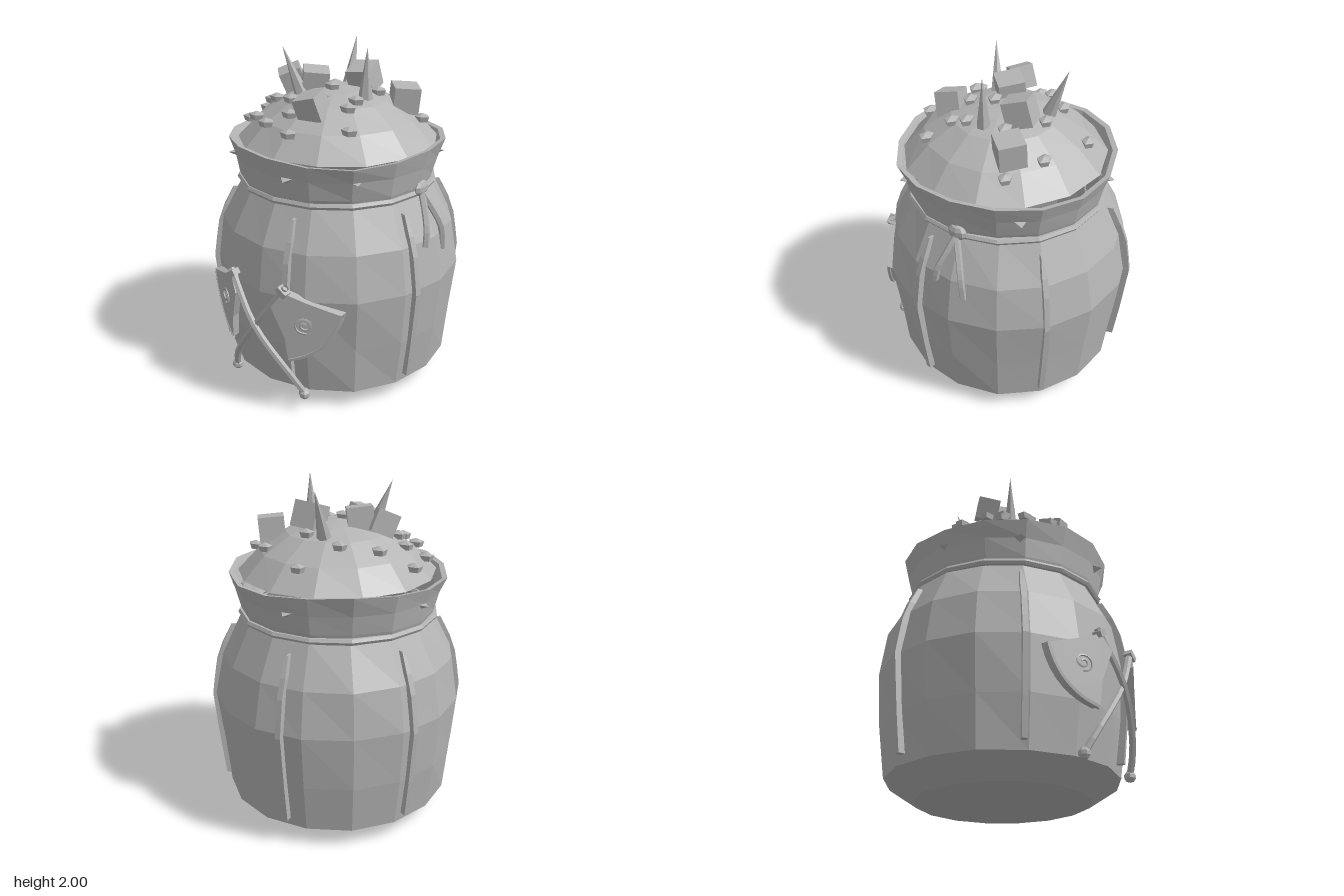
import * as THREE from 'three';

const stone = new THREE.MeshStandardMaterial({ color: 0xb4b4b4, flatShading: true, side: THREE.DoubleSide });
stone.name = 'grey';

const V3 = (x, y, z) => new THREE.Vector3(x, y, z);
const OFFSET_Z = -0.03; // body axis sits slightly behind the centre

function add(parent, name, geometry, x = 0, y = 0, z = 0) {
  const mesh = new THREE.Mesh(geometry, stone);
  mesh.name = name;
  mesh.position.set(x, y, z);
  parent.add(mesh);
  return mesh;
}

// Move every vertex by a rule
function warp(geometry, rule) {
  const p = geometry.attributes.position;
  const v = V3();
  for (let i = 0; i < p.count; i++) {
    v.fromBufferAttribute(p, i);
    rule(v);
    p.setXYZ(i, v.x, v.y, v.z);
  }
  geometry.computeVertexNormals();
  return geometry;
}

function lathe(profile, sides, wobble = 0) {
  const g = new THREE.LatheGeometry(profile.map(([r, y]) => new THREE.Vector2(r, y)), sides);
  return warp(g, v => {
    const a = Math.atan2(v.x, v.z);
    const s = 1 + wobble * Math.sin(Math.round(Math.sin(a) * 50) * 0.31 + Math.cos(a) * 4 + v.y * 9);
    v.x *= s;
    v.z *= s;
  });
}

// Linear lookup of a [radius, y] or [y, radius] table
function lookup(table, t) {
  for (let i = 1; i < table.length; i++) {
    const [a, b] = [table[i - 1], table[i]];
    if (t <= b[0]) return a[1] + (b[1] - a[1]) * (t - a[0]) / (b[0] - a[0]);
  }
  return table[table.length - 1][1];
}

const tube = (points, radius, segments = 12, sides = 6) =>
  new THREE.TubeGeometry(new THREE.CatmullRomCurve3(points), segments, radius, sides, false);

const BODY = [[0, 0.5], [0.11, 0.67], [0.4, 0.705], [0.72, 0.735], [0.98, 0.69], [1.22, 0.565]];
const MOUND = [[0, 1.755], [0.15, 1.74], [0.3, 1.69], [0.46, 1.59], [0.585, 1.46]];

function buildSack(root) {
  const profile = [[0, 0], ...BODY.map(([y, r]) => [r, y])];
  add(root, 'sackBody', lathe(profile, 16, 0.008), 0, 0, OFFSET_Z);

  // Gathered collar with an uneven folded rim
  const collar = lathe([[0.555, 1.2], [0.575, 1.26], [0.6, 1.37], [0.635, 1.47], [0.605, 1.465], [0.57, 1.4]], 16, 0.012);
  warp(collar, v => {
    if (v.y > 1.42) v.y += 0.015 * Math.sin(3 * Math.atan2(v.z, v.x) + 2.2);
  });
  add(root, 'collar', collar, 0, 0, -0.015);

  // Raised seams that follow the belly
  const seams = [[-0.15, -0.7], [0.53, -0.55], [-0.7, -0.25], [-0.53, 0.46], [0.17, 0.66], [0.68, 0.18]];
  for (const [x, z] of seams) {
    const g = new THREE.BoxGeometry(0.032, 0.99, 0.05, 1, 9, 1);
    warp(g, v => {
      v.y += 0.655;
      const taper = v.y > 1.1 ? 0.4 : 1;
      v.x *= taper;
      v.z += lookup(BODY, v.y);
    });
    add(root, 'seam', g, 0, 0, OFFSET_Z).rotation.y = Math.atan2(x, z - OFFSET_Z);
  }
}

function buildRope(root) {
  const ring = new THREE.TorusGeometry(0.572, 0.02, 6, 16);
  ring.rotateX(Math.PI / 2);
  add(root, 'rope', ring, 0, 1.225, -0.02);
  const knot = add(root, 'knot', new THREE.SphereGeometry(0.055, 8, 5), 0.585, 1.25, -0.025);
  knot.scale.set(0.5, 0.85, 1.1);
  // Two loose rope ends
  const ends = [
    [V3(0.59, 1.23, -0.02), V3(0.645, 1.12, 0.02), V3(0.68, 1.03, 0.055), V3(0.685, 0.95, 0.07)],
    [V3(0.59, 1.23, -0.02), V3(0.64, 1.13, -0.06), V3(0.685, 1.02, -0.095), V3(0.69, 0.88, -0.11)],
  ];
  for (const points of ends) {
    const g = tube(points, 0.02, 8, 5);
    add(root, 'ropeEnd', g);
  }
  // Small points poking out through the collar
  for (const deg of [10, 47, -48, -92, 125, -170]) {
    const a = deg * Math.PI / 180;
    const g = new THREE.ConeGeometry(0.055, 0.07, 3);
    g.rotateX(Math.PI / 2);
    g.scale(1.1, 0.55, 1);
    add(root, 'collarPoint', g, Math.sin(a) * 0.6, 1.365, Math.cos(a) * 0.6 - 0.015).rotation.y = a;
  }
}

function buildAxe(name, lift) {
  const axe = new THREE.Group();
  axe.name = name;
  // Curved handle, pommel and top cap
  add(axe, 'handle', tube([V3(-0.26, 0.12, 0.635), V3(-0.2, 0.25, 0.69), V3(0, 0.53, 0.74 + lift), V3(0.2, 0.81, 0.71)], 0.02, 10));
  add(axe, 'pommel', new THREE.SphereGeometry(0.034, 7, 5), -0.26, 0.115, 0.635);
  add(axe, 'handleCap', new THREE.BoxGeometry(0.065, 0.035, 0.05), 0.185, 0.785, 0.715).rotation.z = -0.6;

  // Blade leans back around the belly
  const frontZ = x => 0.72 - 0.55 * (x - 0.2);
  const s = new THREE.Shape();
  s.moveTo(0.13, 0.69);
  s.lineTo(0.19, 0.78);
  s.lineTo(0.31, 0.725);
  s.lineTo(0.47, 0.665);
  s.quadraticCurveTo(0.42, 0.42, 0.21, 0.36);
  s.lineTo(0.195, 0.5);
  const blade = new THREE.ExtrudeGeometry(s, { depth: 0.05, bevelEnabled: false, curveSegments: 7 });
  add(axe, 'blade', warp(blade, v => { v.z += frontZ(v.x) - 0.05; }));

  // Raised cutting edge
  const edge = [];
  for (let i = 0; i <= 6; i++) {
    const t = i / 6, u = 1 - t;
    const x = u * u * 0.47 + 2 * u * t * 0.42 + t * t * 0.21;
    const y = u * u * 0.665 + 2 * u * t * 0.42 + t * t * 0.36;
    edge.push(V3(x, y, frontZ(x) - 0.01));
  }
  add(axe, 'cuttingEdge', tube(edge, 0.014, 12, 5));

  // Spiral ornament
  const spiral = [];
  for (let i = 0; i <= 18; i++) {
    const a = i * 0.62, r = 0.008 + i * 0.0025;
    const x = 0.295 + Math.cos(a) * r;
    spiral.push(V3(x, 0.59 + Math.sin(a) * r, frontZ(x) + 0.003));
  }
  add(axe, 'spiral', tube(spiral, 0.006, 48, 4));
  return axe;
}

function buildTreasure(root) {
  const cap = lathe(MOUND.slice().reverse(), 14, 0.012);
  add(root, 'mound', cap, 0.015, 0, -0.01);
  const moundY = (x, z) => lookup(MOUND, Math.hypot(x - 0.015, z + 0.01));

  // Five-sided gems
  const gems = [
    [-0.08, -0.48], [0.25, -0.37], [-0.2, -0.27], [0.03, -0.27], [0.44, -0.24], [-0.36, -0.12], [0.22, -0.12],
    [-0.5, 0.02], [0.02, 0.05], [-0.38, 0.11], [0.23, 0.11], [-0.29, 0.17], [0.24, 0.2], [0.05, 0.19],
    [-0.12, 0.25], [-0.43, 0.25], [-0.31, 0.33], [0.33, 0.31], [-0.16, 0.42], [0.04, 0.47], [-0.04, 0.36],
  ];
  const gem = new THREE.LatheGeometry([[0, -0.025], [0.036, -0.02], [0.046, 0.012], [0, 0.03]].map(p => new THREE.Vector2(...p)), 5);
  gem.rotateY(0.3);
  gem.scale(1.1, 1, 0.85);
  for (const [x, z] of gems) add(root, 'gem', gem, x, moundY(x, z) + 0.015, z);

  // Tumbled cubes: position, size, rotation
  const cubes = [
    [-0.28, 1.765, 0.04, 0.13, 0.2, 0.75, 0.25],
    [-0.12, 1.765, 0.03, 0.15, 0.15, 0.7, -0.2],
    [0.1, 1.785, -0.15, 0.15, 0.3, 0.2, 0.05],
    [0.34, 1.69, -0.21, 0.15, 0.1, 0.75, -0.15],
    [0.07, 1.705, 0.3, 0.14, 0.2, 0.2, 0.22],
  ];
  for (const [x, y, z, size, rx, ry, rz] of cubes) {
    add(root, 'cube', new THREE.BoxGeometry(size, size, size), x, y, z).rotation.set(rx, ry, rz);
  }

  // Sharp spikes from base to tip
  const spikes = [
    [V3(0.22, 1.69, 0.01), V3(0.23, 2, 0.01)],
    [V3(-0.07, 1.68, -0.23), V3(-0.09, 1.98, -0.34)],
    [V3(-0.14, 1.69, 0.12), V3(-0.235, 1.98, 0.18)],
  ];
  for (const [base, tip] of spikes) {
    const dir = tip.clone().sub(base);
    const g = new THREE.ConeGeometry(0.045, dir.length(), 6);
    const mid = base.clone().add(tip).multiplyScalar(0.5);
    add(root, 'spike', g, mid.x, mid.y, mid.z).quaternion.setFromUnitVectors(V3(0, 1, 0), dir.normalize());
  }
}

export function createModel() {
  const root = new THREE.Group();
  root.name = 'treasureSack';
  buildSack(root);
  buildRope(root);
  buildTreasure(root);
  const leftAxe = buildAxe('leftAxe', 0);
  const rightAxe = buildAxe('rightAxe', 0.015);
  rightAxe.scale.x = -1;
  root.add(leftAxe, rightAxe);
  return root;
}
